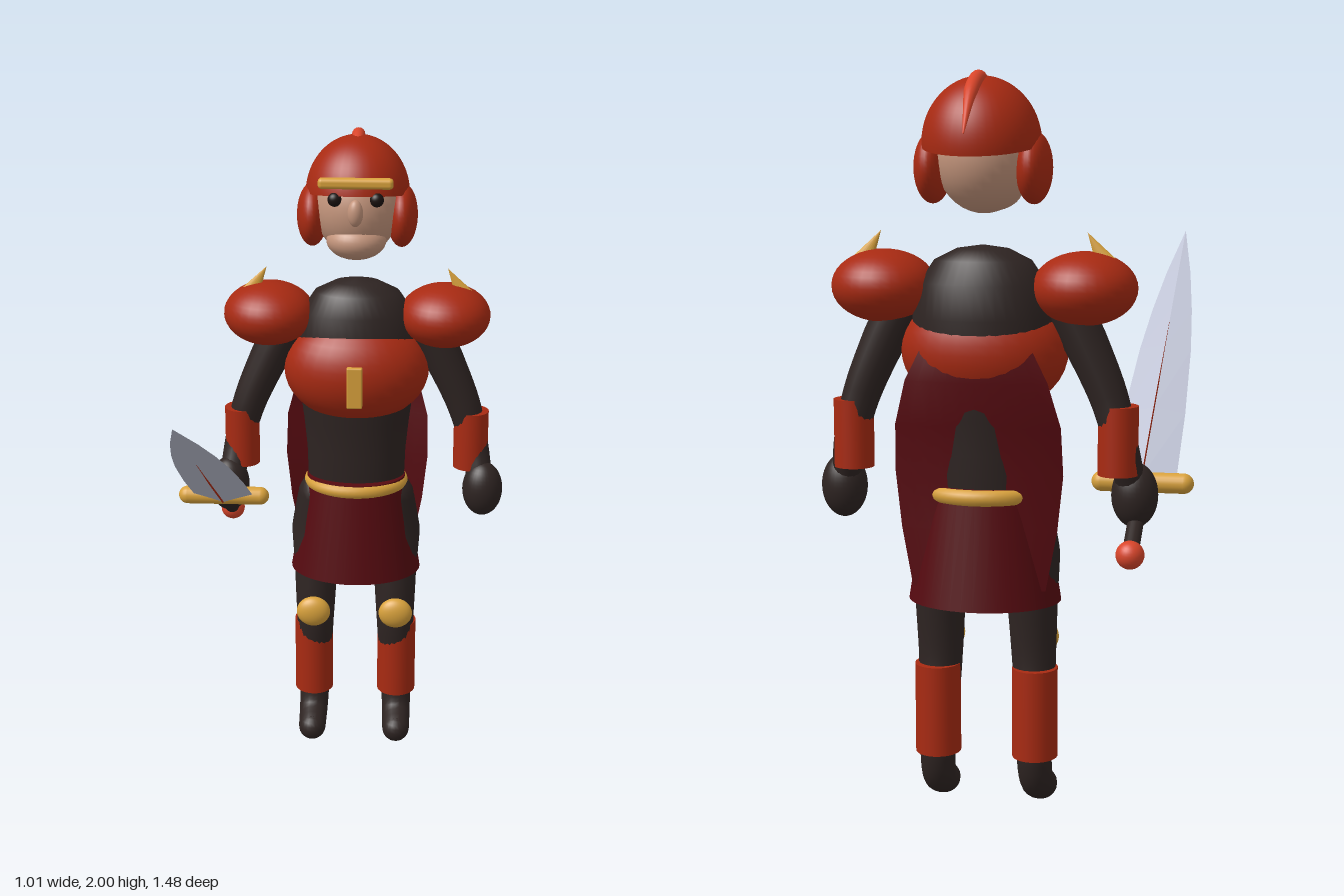
import * as THREE from 'three';
import { mergeGeometries } from 'three/addons/utils/BufferGeometryUtils.js';
import { RoundedBoxGeometry } from 'three/addons/geometries/RoundedBoxGeometry.js';

const material = (name, color, side = THREE.FrontSide) => {
  const m = new THREE.MeshStandardMaterial({ color, side });
  m.name = name;
  return m;
};

// Round-ended tube through points [x, y, z, radius]
function limb(points, segments = 24, sides = 16) {
  const curve = new THREE.CatmullRomCurve3(points.map(p => new THREE.Vector3(p[0], p[1], p[2])));
  const tube = new THREE.TubeGeometry(curve, segments, 1, sides);
  const pos = tube.attributes.position, v = new THREE.Vector3();
  for (let i = 0; i <= segments; i++) {
    const t = curve.getUtoTmapping(i / segments) * (points.length - 1);
    const k = Math.min(Math.floor(t), points.length - 2);
    const r = THREE.MathUtils.lerp(points[k][3], points[k + 1][3], t - k);
    const centre = curve.getPointAt(i / segments);
    for (let j = 0; j <= sides; j++) {
      const n = i * (sides + 1) + j;
      v.fromBufferAttribute(pos, n).sub(centre).multiplyScalar(r).add(centre);
      pos.setXYZ(n, v.x, v.y, v.z);
    }
  }
  const ends = [points[0], points.at(-1)].map(p =>
    new THREE.SphereGeometry(p[3], sides, 10).translate(p[0], p[1], p[2]));
  return mergeGeometries([tube, ...ends]);
}

// Diamond-section blade along +z from stations [z, halfWidth, halfThickness]
function diamondBlade(stations) {
  const verts = [];
  for (let i = 0; i < stations.length - 1; i++) {
    const [a, b] = [stations[i], stations[i + 1]].map(([z, w, t]) =>
      [[w, 0, z], [0, t, z], [-w, 0, z], [0, -t, z]]);
    for (let j = 0; j < 4; j++) {
      const k = (j + 1) % 4;
      verts.push(...a[j], ...a[k], ...b[k], ...a[j], ...b[k], ...b[j]);
    }
  }
  const g = new THREE.BufferGeometry();
  g.setAttribute('position', new THREE.Float32BufferAttribute(verts, 3));
  g.computeVertexNormals();
  return g;
}

export function createModel() {
  const red = material('armour red', 0xa82a12);
  const dark = material('dark cloth', 0x2e2422);
  const gold = material('gold trim', 0xd9a23c);
  const maroon = material('maroon cloth', 0x560a10, THREE.DoubleSide);
  const skin = material('skin', 0xc4957c);
  const bright = material('bright red', 0xd8452a);
  const steel = material('steel', 0xbfc3d4, THREE.DoubleSide);
  const black = material('eye black', 0x1a1210);

  const model = new THREE.Group();
  model.name = 'warrior';
  // The body stands behind the sword, slightly to one side
  const body = new THREE.Group();
  body.name = 'body';
  body.position.set(0.04, 0, -0.5);
  model.add(body);

  const add = (name, geometry, mat, x = 0, y = 0, z = 0, parent = body) => {
    const mesh = new THREE.Mesh(geometry, mat);
    mesh.name = name;
    mesh.position.set(x, y, z);
    parent.add(mesh);
    return mesh;
  };
  const ball = (name, mat, x, y, z, rx, ry, rz) => {
    const mesh = add(name, new THREE.SphereGeometry(1, 32, 20), mat, x, y, z);
    mesh.scale.set(rx, ry, rz);
    return mesh;
  };

  // Torso and breastplate
  const profile = [[0, 0.7], [0.13, 0.72], [0.15, 0.85], [0.155, 1.0], [0.165, 1.1], [0.185, 1.25],
    [0.19, 1.36], [0.17, 1.45], [0.13, 1.51], [0.07, 1.54], [0, 1.55]];
  add('torso', new THREE.LatheGeometry(profile.map(p => new THREE.Vector2(...p)), 40), dark, 0, 0, -0.01)
    .scale.z = 0.7;
  ball('breastplate', red, 0, 1.27, 0.01, 0.225, 0.17, 0.16);
  add('chestPlate', new RoundedBoxGeometry(0.048, 0.13, 0.03, 2, 0.005), gold, 0, 1.255, 0.162);

  // Skirt and belt
  add('skirt', new THREE.CylinderGeometry(0.155, 0.207, 0.32, 40), maroon, 0, 0.755, 0).scale.z = 0.8;
  add('belt', new THREE.TorusGeometry(0.142, 0.022, 12, 48).rotateX(Math.PI / 2).scale(1, 1, 0.85),
    gold, 0, 0.893, -0.003);

  // Cape: a sheet widened and bent row by row [y, halfWidth, z]
  const rows = [[1.39, 0.06, -0.115], [1.34, 0.12, -0.135], [1.2, 0.19, -0.14], [1.08, 0.222, -0.12],
    [0.95, 0.226, -0.105], [0.8, 0.21, -0.105], [0.64, 0.18, -0.11]];
  const cape = new THREE.PlaneGeometry(2, 1, 10, rows.length - 1);
  const cp = cape.attributes.position;
  for (let i = 0; i < cp.count; i++) {
    const [y, w, z] = rows[Math.floor(i / 11)], s = cp.getX(i);
    cp.setXYZ(i, s * w, y, z + 0.03 * s * s);
  }
  cape.computeVertexNormals();
  add('cape', cape, maroon);

  // Head and face
  ball('head', skin, 0, 1.78, 0.01, 0.13, 0.15, 0.138);
  ball('jaw', skin, 0, 1.69, 0.07, 0.09, 0.058, 0.082);
  ball('nose', skin, 0, 1.79, 0.152, 0.023, 0.04, 0.022);
  for (const s of [-1, 1]) {
    ball('eye', black, s * 0.062, 1.825, 0.128, 0.021, 0.021, 0.018);
    ball('helmetEarGuard', red, s * 0.135, 1.75, 0, 0.047, 0.095, 0.1);
  }

  // Helmet with brow band and crest
  const dome = add('helmet', new THREE.SphereGeometry(1, 40, 20, 0, Math.PI * 2, 0, Math.PI * 0.5),
    material('helmet red', 0xa82a12, THREE.DoubleSide), 0, 1.81, -0.017);
  dome.scale.set(0.157, 0.176, 0.166);
  dome.rotation.x = -0.17;
  add('browBand', new RoundedBoxGeometry(0.222, 0.032, 0.032, 3, 0.012), gold, 0, 1.876, 0.139);
  add('crest', limb([[0, 1.955, 0.02, 0.016], [0, 1.98, -0.05, 0.02], [0, 1.945, -0.15, 0.018],
    [0, 1.84, -0.242, 0.002]]), bright);

  // Arms, legs and their armour, mirrored
  for (const s of [-1, 1]) {
    const side = s > 0 ? 'left' : 'right';
    ball(side + 'Pauldron', red, s * 0.27, 1.438, -0.005, 0.14, 0.097, 0.14);
    const spike = add(side + 'PauldronSpike', new THREE.ConeGeometry(0.035, 0.12, 20).scale(1, 1, 0.5),
      gold, s * 0.308, 1.533, -0.005);
    spike.rotation.z = s * 0.55;

    add(side + 'Arm', limb([[s * 0.21, 1.42, 0, 0.06], [s * 0.27, 1.3, 0, 0.06], [s * 0.335, 1.15, 0, 0.052],
      [s * 0.37, 1.02, 0, 0.045], [s * 0.39, 0.92, 0.03, 0.04]]), dark);
    add(side + 'Bracer', new THREE.CylinderGeometry(0.054, 0.054, 0.185, 28), red, s * 0.36, 1.038, 0);
    ball(side + 'Hand', dark, s * 0.4, 0.885, 0.04, 0.063, 0.088, 0.058);

    add(side + 'Leg', limb([[s * 0.11, 0.84, 0, 0.075], [s * 0.12, 0.72, 0, 0.086], [s * 0.127, 0.59, 0.015, 0.069],
      [s * 0.13, 0.42, 0.024, 0.06], [s * 0.134, 0.28, 0.01, 0.056], [s * 0.135, 0.15, 0.0, 0.048],
      [s * 0.137, 0.08, 0.025, 0.046], [s * 0.138, 0.045, 0.095, 0.044]], 40, 20), dark);
    ball(side + 'KneeCap', gold, s * 0.132, 0.468, 0.098, 0.054, 0.05, 0.03);
    add(side + 'Greave', new THREE.CylinderGeometry(0.062, 0.062, 0.25, 28).scale(1, 1, 1.07), red,
      s * 0.135, 0.28, 0.01);
  }

  // Sword held in the right hand, pointing forward and up
  const sword = new THREE.Group();
  sword.name = 'sword';
  sword.position.set(-0.365, 0.895, -0.335);
  sword.rotation.x = -Math.PI / 6;
  model.add(sword);
  add('blade', diamondBlade([[0.0, 0.091, 0.024], [0.3, 0.088, 0.02], [0.6, 0.076, 0.015], [0.8, 0.06, 0.011],
    [1.0, 0.037, 0.007], [1.14, 0.015, 0.003], [1.235, 0, 0]]), steel, 0, 0, 0, sword);
  add('bladeStripe', diamondBlade([[0.02, 0.009, 0.03], [0.4, 0.007, 0.024], [0.72, 0.003, 0.014]]),
    bright.clone(), 0, 0, 0, sword).material = red;
  add('guard', new THREE.CapsuleGeometry(0.028, 0.225, 8, 20).rotateZ(Math.PI / 2), gold, 0, 0, 0, sword);
  add('grip', new THREE.CylinderGeometry(0.022, 0.022, 0.27, 20).rotateX(Math.PI / 2), dark, 0, 0, -0.14, sword);
  add('pommel', new THREE.SphereGeometry(0.038, 24, 16), bright, 0, 0, -0.29, sword);
  return model;
}
